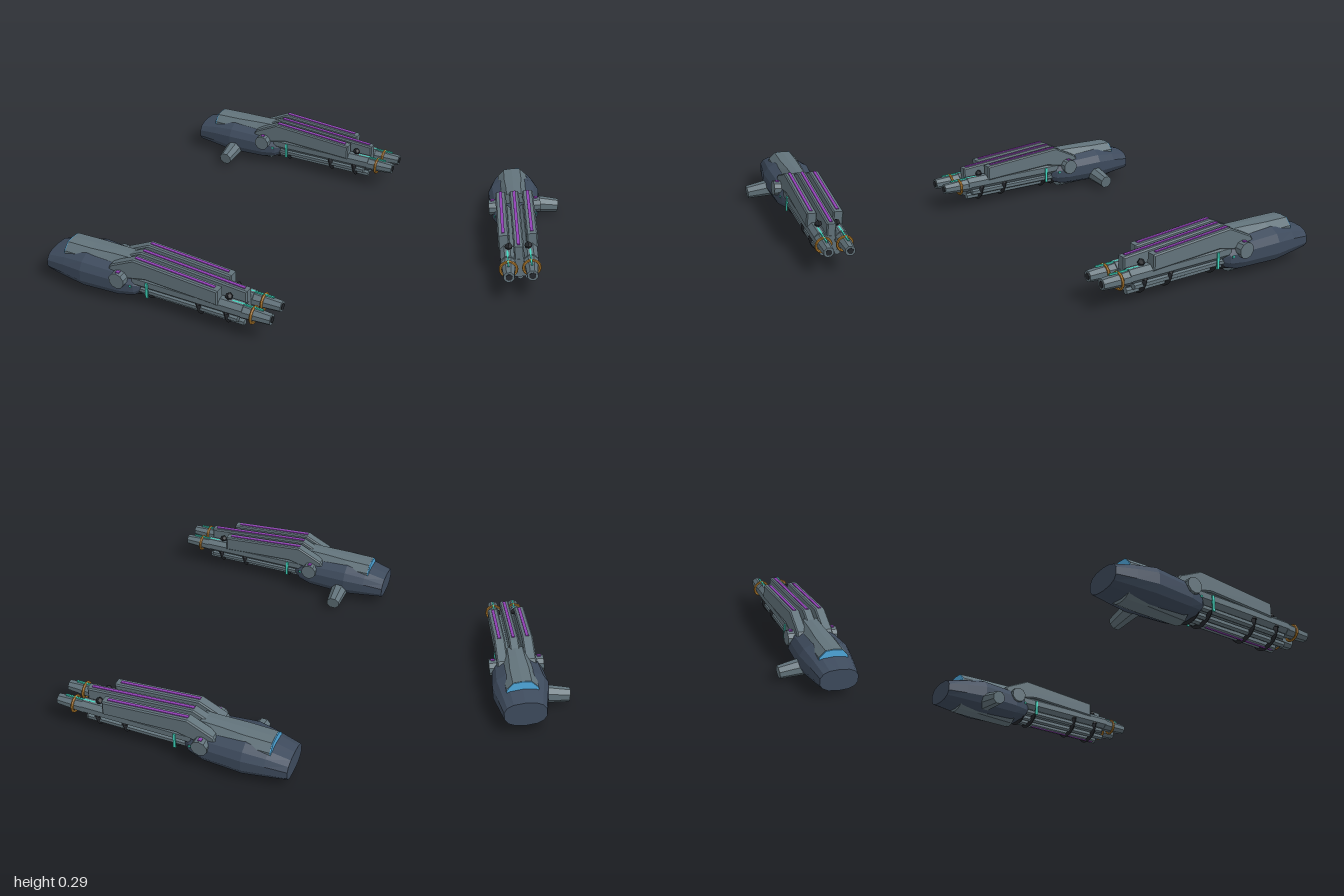
import * as THREE from 'three';

const mat = (name, color) => Object.assign(new THREE.MeshStandardMaterial({ color }), { name });

export function createModel() {
  const M = {
    hull: mat('slate hull', 0x3d4a5c),
    grey: mat('steel grey', 0x62737b),
    dark: mat('clamp black', 0x24272c),
    purple: mat('purple strip', 0x9040b4),
    teal: mat('teal glow', 0x40d8c0),
    orange: mat('amber ring', 0xb57d2c),
    blue: mat('blue edge', 0x4fa8dc),
  };

  // Adds a faceted mesh to a group
  function add(parent, name, geo, material, x = 0, y = 0, z = 0) {
    const g = geo.index ? geo.toNonIndexed() : geo;
    g.computeVertexNormals();
    const mesh = new THREE.Mesh(g, material);
    mesh.name = name;
    mesh.position.set(x, y, z);
    parent.add(mesh);
    return mesh;
  }

  // Skin over stations [x, bottom, top, halfWidth]; ring is a unit outline of [z, y]
  function loft(stations, ring) {
    const n = ring.length, pos = [], idx = [];
    for (const [x, lo, hi, w] of stations) {
      for (const [z, y] of ring) pos.push(x, (lo + hi) / 2 + y * (hi - lo) / 2, z * w);
    }
    const last = (stations.length - 1) * n;
    for (let i = 0; i < last; i += n) {
      for (let j = 0; j < n; j++) {
        const a = i + j, b = i + (j + 1) % n;
        idx.push(a, a + n, b + n, a, b + n, b);
      }
    }
    for (let j = 1; j < n - 1; j++) {
      idx.push(0, j, j + 1, last, last + j + 1, last + j);
    }
    const g = new THREE.BufferGeometry();
    g.setAttribute('position', new THREE.Float32BufferAttribute(pos, 3));
    g.setIndex(idx);
    return g;
  }

  // Tube lying along x from x0 to x1
  function rod(x0, x1, r0, r1, sides = 8) {
    return new THREE.CylinderGeometry(r1, r0, x1 - x0, sides)
      .rotateY(Math.PI / sides).rotateZ(-Math.PI / 2).translate((x0 + x1) / 2, 0, 0);
  }

  // Bevelled slab with an x-y outline, centred on z
  function slab(points, width) {
    const b = 0.007;
    return new THREE.ExtrudeGeometry(new THREE.Shape(points.map(p => new THREE.Vector2(...p))), {
      depth: width - 2 * b, bevelEnabled: true, bevelThickness: b,
      bevelSize: b, bevelOffset: -b, bevelSegments: 1,
    }).translate(0, 0, -width / 2 + b);
  }

  // Lower arc in the y-z plane
  function cradle(radius, tube, arc) {
    return new THREE.TorusGeometry(radius, tube, 4, 14, arc)
      .rotateZ(-Math.PI / 2 - arc / 2).rotateY(Math.PI / 2);
  }

  const oval = [];
  for (let i = 0; i < 14; i++) {
    const a = i / 14 * Math.PI * 2 + Math.PI / 14;
    const c = Math.cos(a), s = Math.sin(a);
    oval.push([Math.sign(c) * Math.abs(c) ** 0.8, Math.sign(s) * Math.abs(s) ** 0.8]);
  }

  function pod(side) {
    const p = new THREE.Group();
    p.name = side > 0 ? 'frontPod' : 'rearPod';
    p.position.z = side * 0.845;

    // Hull with back cowl and keel
    add(p, 'hull', loft([
      [-0.655, 0.043, 0.172, 0.112], [-0.54, 0.03, 0.205, 0.132], [-0.42, 0.018, 0.228, 0.151],
      [-0.2, 0.024, 0.214, 0.136], [-0.12, 0.045, 0.178, 0.112], [-0.09, 0.075, 0.145, 0.085],
    ], oval), M.hull);
    const cowl = [[1, -1], [0.95, 0.1], [0.55, 0.9], [0, 1], [-0.55, 0.9], [-0.95, 0.1], [-1, -1]];
    add(p, 'cowl', loft([
      [-0.55, 0.15, 0.243, 0.088], [-0.4, 0.15, 0.247, 0.09],
      [-0.27, 0.15, 0.252, 0.078], [-0.16, 0.15, 0.255, 0.075],
    ], cowl), M.grey);
    add(p, 'cowlEdge', loft([
      [-0.556, 0.152, 0.241, 0.086], [-0.549, 0.152, 0.241, 0.086],
    ], cowl), M.blue);
    add(p, 'keel', loft([
      [-0.55, 0.014, 0.07, 0.075], [-0.42, 0.01, 0.08, 0.085], [-0.175, 0.002, 0.09, 0.07],
    ], [[1, 0], [0.8, 1], [-0.8, 1], [-1, 0], [-0.5, -0.8], [0, -1], [0.5, -0.8]]), M.grey);

    // Inner mounting stub
    const stub = add(p, 'mountingStub', new THREE.CylinderGeometry(0.039, 0.052, 0.17, 8)
      .rotateY(Math.PI / 8), M.grey, -0.395, 0.066, -side * 0.173);
    stub.rotation.x = -side * (Math.PI / 2 + 0.16);

    // Pivot drum through the hull
    add(p, 'pivotDrum', new THREE.CylinderGeometry(0.045, 0.045, 0.296, 10)
      .rotateX(Math.PI / 2), M.grey, -0.195, 0.16, 0);

    // Three top rails with purple strips
    for (const s of [-1, 0, 1]) {
      const end = s ? 0.37 : 0.495, top = s ? 0.251 : 0.241, z = s * 0.076;
      add(p, 'topRail', slab([
        [-0.27, 0.19], [-0.255, 0.218], [-0.115, 0.287], [end, top],
        [end, s ? 0.165 : 0.17], [-0.05, 0.185], [-0.16, 0.16],
      ], s ? 0.06 : 0.054), M.grey, 0, 0, z);
      const x0 = -0.113, x1 = s ? 0.345 : 0.475;
      const slope = (top - 0.287) / (end + 0.115);
      const strip = add(p, 'railStrip', new THREE.BoxGeometry(x1 - x0, 0.007, 0.017), M.purple,
        (x0 + x1) / 2, 0.287 + slope * ((x0 + x1) / 2 + 0.115) + 0.001, z);
      strip.rotation.z = Math.atan(slope);
    }

    // Central core
    add(p, 'core', rod(-0.12, 0.495, 0.06, 0.055), M.grey, 0, 0.118, 0);

    for (const s of [-1, 1]) {
      // Main barrels, ring and glowing strip
      const z = s * 0.06;
      add(p, 'barrel', rod(-0.13, 0.5, 0.044, 0.042), M.grey, 0, 0.155, z);
      add(p, 'muzzle', rod(0.49, 0.65, 0.041, 0.03), M.grey, 0, 0.15, z);
      add(p, 'muzzleBore', rod(0.648, 0.653, 0.018, 0.018), M.dark, 0, 0.15, z);
      add(p, 'muzzleRing', new THREE.TorusGeometry(0.043, 0.0075, 6, 20)
        .rotateY(Math.PI / 2), M.orange, 0.552, 0.146, z);
      add(p, 'barrelStrip', new THREE.BoxGeometry(0.19, 0.008, 0.009), M.teal, 0.51, 0.19, z);
      add(p, 'barrelKnob', new THREE.OctahedronGeometry(0.021, 1), M.dark, 0.41, 0.205, s * 0.052);
      // Teal side bands
      add(p, 'sideBand', new THREE.BoxGeometry(0.014, 0.09, 0.009), M.teal, -0.04, 0.124, s * 0.103);
      add(p, 'sideLight', new THREE.BoxGeometry(0.012, 0.012, 0.004), M.teal, -0.13, 0.13, s * 0.119);
      add(p, 'pivotStrip', new THREE.BoxGeometry(0.02, 0.006, 0.02), M.purple, -0.195, 0.204, s * 0.125);
    }

    // Slim lower tubes around the core
    for (let i = -2; i <= 2; i++) {
      const a = i * 0.56;
      add(p, 'lowerTube', rod(-0.12, i % 2 ? 0.495 : 0.47, 0.018, 0.018, 6), M.grey,
        0, 0.13 - 0.074 * Math.cos(a), 0.078 * Math.sin(a));
    }
    add(p, 'lowerStrip', new THREE.BoxGeometry(0.46, 0.005, 0.01), M.purple, 0.22, 0.039, 0);

    // Dark clamps cradling the tubes
    for (const x of [-0.115, -0.04, 0.252, 0.41]) {
      const wide = x > 0;
      add(p, 'clamp', cradle(0.086, 0.015, wide ? Math.PI : 2.3), M.dark, x, 0.13, 0);
      if (wide) {
        for (const s of [-1, 1]) {
          add(p, 'clampTip', new THREE.ConeGeometry(0.016, 0.035, 6), M.dark, x, 0.145, s * 0.088);
        }
      }
    }
    return p;
  }

  const model = new THREE.Group();
  model.name = 'twinPods';
  model.add(pod(1), pod(-1));
  return model;
}
